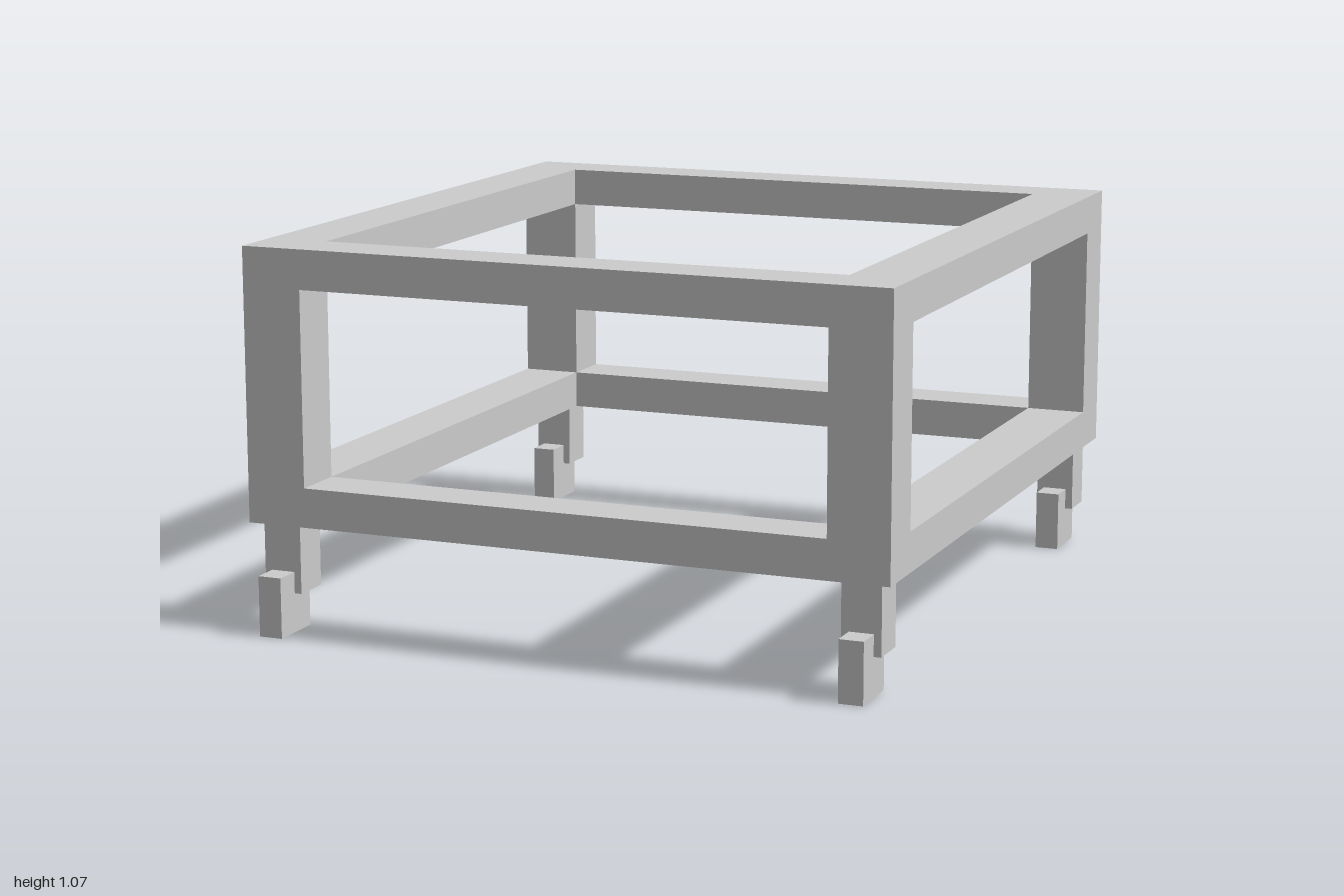
import * as THREE from 'three';

const material = new THREE.MeshStandardMaterial({ color: 0xcccccc, flatShading: true });

// Box given by its minimum and maximum along each axis
function block(name, [x0, x1], [y0, y1], [z0, z1]) {
  const mesh = new THREE.Mesh(new THREE.BoxGeometry(x1 - x0, y1 - y0, z1 - z0), material);
  mesh.position.set((x0 + x1) / 2, (y0 + y1) / 2, (z0 + z1) / 2);
  mesh.name = name;
  return mesh;
}

export function createModel() {
  const model = new THREE.Group();
  model.name = 'tableFrame';

  const bottom = 0.305, top = 1.07, rail = 0.11;
  const leftX = [0.753, 0.925], rightX = [-0.925, -0.753];
  const frontZ = [0.795, 0.95], backZ = [-1, -0.845];
  const sides = [['left', leftX], ['right', rightX]];
  const ends = [['front', frontZ], ['back', backZ]];

  // Corner posts, full height of the frame
  for (const [s, x] of sides)
    for (const [e, z] of ends) model.add(block(`${e}_${s}_post`, x, [bottom, top], z));

  // Upper and lower rails between the posts
  for (const [level, y] of [['lower', [bottom, bottom + rail]], ['upper', [top - rail, top]]]) {
    for (const [e, z] of ends) model.add(block(`${level}_${e}_rail`, [rightX[1], leftX[0]], y, z));
    for (const [s, x] of sides) model.add(block(`${level}_${s}_rail`, x, y, [backZ[1], frontZ[0]]));
  }

  // Short legs, each with a narrow caster block set forward
  for (const [s, x] of [['left', 0.839], ['right', -0.839]]) {
    for (const [e, legZ, casterZ] of [
      ['front', [0.812, 0.923], [0.84, 1]],
      ['back', [-0.965, -0.855], [-0.938, -0.777]],
    ]) {
      const leg = new THREE.Group();
      leg.name = `${e}_${s}_leg`;
      leg.add(
        block('legBlock', [x - 0.055, x + 0.055], [0.11, bottom], legZ),
        block('caster', [x - 0.034, x + 0.034], [0, 0.17], casterZ),
      );
      model.add(leg);
    }
  }
  return model;
}
